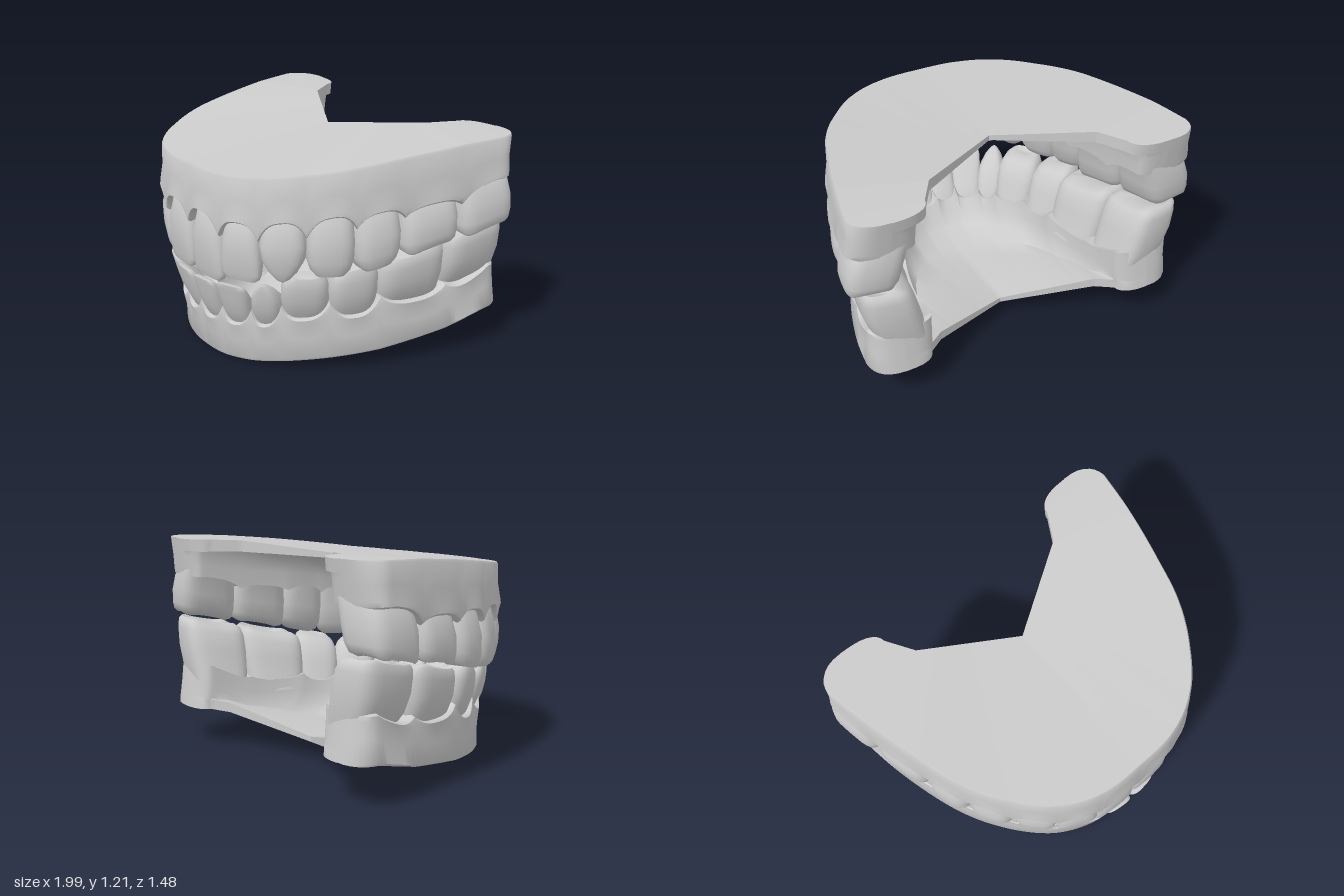
import * as THREE from 'three';
import { toCreasedNormals } from 'three/addons/utils/BufferGeometryUtils.js';

const { lerp } = THREE.MathUtils;
const material = new THREE.MeshStandardMaterial({ color: 0xcccccc, side: THREE.DoubleSide });

// Each jaw: dir points from the base plate to the biting edge.
// Lists of 8 run over the gaps between teeth, midline to back; lists of 7 over the teeth.
const UPPER = {
  name: 'upper', dir: -1,
  arch: [[0, .72], [.26, .7], [.47, .6], [.64, .42], [.77, .2], [.85, -.05], [.93, -.37], [.985, -.7]],
  base: [1.08, 1.08, 1.09, 1.11, 1.14, 1.17, 1.2, 1.215],
  baseOffset: [-.005, -.005],
  papilla: [.75, .74, .75, .78, .82, .85, .88, .95],
  zenith: [.85, .84, .86, .89, .9, .91, .98],
  tip: [.48, .52, .53, .57, .6, .67, .73],
  depth: [.19, .18, .21, .24, .26, .3, .3],
  gumDepth: [.2, .2, .22, .25, .28, .32, .33, .34],
  lean: [-.03, -.03, -.03, -.02, -.01, -.01, 0],
  notch: [[0, -.21], [.48, -.5], [.6, -.7]], notchY: [1.15, 1.21], plate: [.03, .07],
};
const LOWER = {
  name: 'lower', dir: 1,
  arch: [[0, .65], [.17, .63], [.34, .56], [.47, .46], [.63, .26], [.75, .02], [.85, -.35], [.9, -.71]],
  base: [0, .005, .02, .04, .07, .1, .16, .25],
  baseOffset: [-.02, .03],
  papilla: [.31, .31, .33, .36, .39, .41, .42, .58],
  zenith: [.22, .23, .25, .3, .31, .36, .43],
  tip: [.46, .47, .5, .54, .58, .63, .71],
  depth: [.15, .15, .18, .22, .24, .3, .3],
  gumDepth: [.17, .17, .19, .23, .26, .31, .33, .33],
  lean: [.06, .06, .05, .03, .02, .01, .02],
  notch: [[0, -.37], [.48, -.6], [.6, -.7]], notchY: [.1, .23], plate: [.03, .06],
};

// Tooth profiles from root to tip: [height, width, depth] as fractions
const PROFILES = {
  incisor: [[0, .76, .8], [.2, .87, 1], [.45, .95, .88], [.72, .99, .6], [.9, .97, .38], [.97, .89, .28], [1, .72, .18], [1, 0, 0]],
  canine: [[0, .74, .8], [.25, .9, 1], [.5, 1, .95], [.7, .9, .78], [.86, .6, .5], [.96, .28, .25], [1, 0, 0]],
  premolar: [[0, .78, .85], [.25, .92, .98], [.55, 1, 1], [.8, .96, .92], [.93, .82, .75], [1, .6, .5], [.94, .25, .15], [.93, 0, 0]],
  molar: [[0, .85, .88], [.25, .95, .97], [.55, 1, 1], [.82, .99, .95], [.95, .94, .84], [1, .82, .64], [.92, .4, .3], [.9, 0, 0]],
};
const KINDS = ['incisor', 'incisor', 'canine', 'premolar', 'premolar', 'molar', 'molar'];
const NAMES = ['CentralIncisor', 'LateralIncisor', 'Canine', 'FirstPremolar', 'SecondPremolar', 'FirstMolar', 'SecondMolar'];

// Skin a list of closed rings of [x, y, z] points
function loft(rings, flip, crease) {
  const n = rings[0].length, index = [];
  for (let i = 0; i < rings.length - 1; i++) {
    for (let j = 0; j < n; j++) {
      const a = i * n + j, c = i * n + (j + 1) % n, b = a + n, d = c + n;
      if (flip) index.push(a, b, c, c, b, d);
      else index.push(a, c, b, c, d, b);
    }
  }
  const geometry = new THREE.BufferGeometry();
  geometry.setAttribute('position', new THREE.Float32BufferAttribute(rings.flat(2), 3));
  geometry.setIndex(index);
  return toCreasedNormals(geometry, crease);
}

// Value of a per-gap list at arch position u (0 = midline, 7 = back)
function sample(list, u) {
  const i = Math.floor(u);
  return lerp(list[i], list[i + 1], u - i);
}

// Position, direction and outward normal along the whole arch, u from -7 to 7
function makeArch(jaw) {
  const half = jaw.arch.map(([x, z]) => new THREE.Vector3(x, 0, z));
  const mirrored = half.slice(1).reverse().map(p => new THREE.Vector3(-p.x, 0, p.z));
  const curve = new THREE.CatmullRomCurve3([...mirrored, ...half]);
  return u => {
    const t = (u + 7) / 14, p = curve.getPoint(t), along = curve.getTangent(t);
    return { p, along, out: new THREE.Vector3(-along.z, 0, along.x) };
  };
}

// Height of the scalloped gum edge
function gumEdge(jaw, u) {
  const i = Math.floor(u), f = u - i;
  const mean = (jaw.papilla[i] + jaw.papilla[i + 1]) / 2;
  return sample(jaw.papilla, u) + (jaw.zenith[i] - mean) * (1 - Math.abs(2 * f - 1) ** 2.8);
}

// One gum cross-section: plate, outer wall, ridge, inner wall, back to the plate
function gumSection(jaw, frame, signedU) {
  const u = Math.abs(signedU), side = Math.sign(signedU), k = u / 7;
  const { p, out } = frame(signedU);
  const B = sample(jaw.base, u), M = gumEdge(jaw, u), D = sample(jaw.gumDepth, u);
  const wall = sample(jaw.papilla, u) - jaw.dir * .06, rimY = lerp(wall, M, .5);
  const [n0, n1, n2] = jaw.notch;
  const [from, to, f] = u < 6 ? [n0, n1, u / 6] : [n1, n2, u - 6];
  const cx = side * lerp(from[0], to[0], f), cz = lerp(from[1], to[1], f);
  const cy = lerp(...jaw.notchY, k), inner = cy + jaw.dir * lerp(...jaw.plate, k);
  const floor = B + jaw.dir * .06;
  const off = lerp(...jaw.baseOffset, k);
  const gap = Math.abs(2 * (u - Math.floor(u)) - 1) ** 2;
  const at = (o, y) => [p.x + out.x * o, y, p.z + out.z * o];
  const rim = at(-D, rimY);
  const toward = (s, y) => [lerp(rim[0], cx, s), y, lerp(rim[2], cz, s)];
  return [
    [cx, cy, cz],
    at(off - .008, B), at(off, lerp(B, M, .05)),
    at(off * .5, lerp(B, M, .5)), at(.012, lerp(B, M, .85)), at(.016 - .012 * gap, lerp(B, M, .96)),
    at(.002 - .015 * gap, M), at(-.05, lerp(B, M, .97)), at(-D + .04, lerp(B, rimY, .97)),
    rim, toward(.05, lerp(wall, floor, .4)), toward(.13, lerp(wall, floor, .75)), toward(.27, lerp(wall, floor, .95)),
    toward(.5, lerp(floor, inner, .4)), [cx, inner, cz],
  ];
}

function makeGum(jaw, frame) {
  const rings = [], perTooth = 12, last = 81;
  for (let i = -last; i <= last; i++) rings.push(gumSection(jaw, frame, i / perTooth));
  // Rounded back ends: sweep the last section back while drawing it together sideways
  const roundEnd = ring => {
    const xs = ring.map(q => q[0]), mid = (Math.min(...xs) + Math.max(...xs)) / 2;
    const baseY = ring[1][1], edgeY = ring[6][1];
    return [1, 2, 3, 4, 5, 6, 7].map(step => {
      const angle = step / 7 * Math.PI / 2, narrow = step < 7 ? Math.cos(angle) ** .75 : 0;
      return ring.map(([x, y, z]) => {
        const back = lerp(-.745, -.71, (y - baseY) / (edgeY - baseY));
        return [lerp(mid, x, narrow), y, lerp(z, back, Math.sin(angle))];
      });
    });
  };
  const start = roundEnd(rings[0]).reverse(), end = roundEnd(rings[rings.length - 1]);
  const mesh = new THREE.Mesh(loft([...start, ...rings, ...end], jaw.dir > 0, .75), material);
  mesh.name = jaw.name + 'Gum';
  return mesh;
}

function makeTooth(jaw, frame, i, side) {
  const { p, along, out } = frame(side * (i + .5));
  const [a, b] = [jaw.arch[i], jaw.arch[i + 1]];
  const width = Math.hypot(b[0] - a[0], b[1] - a[1]), depth = jaw.depth[i];
  const root = jaw.zenith[i] - jaw.dir * .07, height = jaw.tip[i] - root;
  const molar = KINDS[i] === 'molar', power = molar ? .55 : .65, slope = i > 3 ? .22 : 0;
  const rings = PROFILES[KINDS[i]].map(([t, w, d]) => {
    // The root tucks under the gum and the crown swells out past it
    const shift = depth * ((1 - d) * .35 - .5) + .03 - .09 * (1 - t) ** 3 + jaw.lean[i] * t * t;
    const ring = [];
    for (let j = 0; j < 28; j++) {
      const ang = j / 28 * Math.PI * 2, c = Math.cos(ang), s = Math.sin(ang);
      const px = Math.sign(c) * Math.abs(c) ** power * w * width / 2;
      const pd = Math.sign(s) * Math.abs(s) ** power * d * depth / 2 + shift;
      // Cusps at the corners of the molars, biting plane rising to the back
      const cusp = molar && t > .9 ? -Math.cos(4 * ang) * .006 * w * jaw.dir : 0;
      const y = root + height * t + cusp + slope * px * side * t;
      ring.push([p.x + along.x * px + out.x * pd, y, p.z + along.z * px + out.z * pd]);
    }
    return ring;
  });
  const mesh = new THREE.Mesh(loft(rings, jaw.dir > 0, 1.1), material);
  mesh.name = jaw.name + (side > 0 ? 'Left' : 'Right') + NAMES[i];
  return mesh;
}

export function createModel() {
  const model = new THREE.Group();
  model.name = 'dentalModel';
  for (const jaw of [UPPER, LOWER]) {
    const group = new THREE.Group(), frame = makeArch(jaw);
    group.name = jaw.name + 'Jaw';
    group.add(makeGum(jaw, frame));
    for (const side of [1, -1]) {
      for (let i = 0; i < 7; i++) group.add(makeTooth(jaw, frame, i, side));
    }
    model.add(group);
  }
  return model;
}
